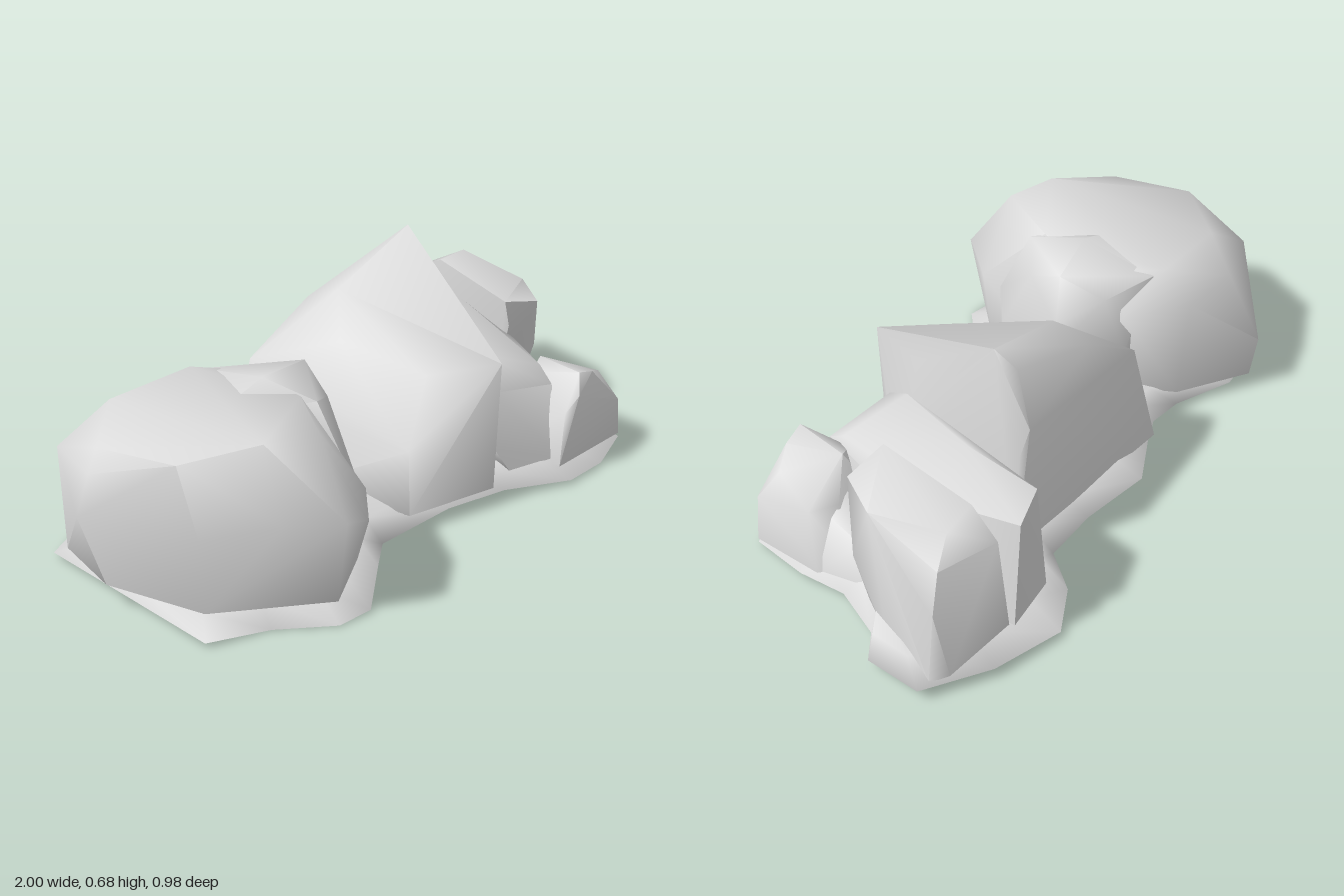
import * as THREE from 'three';
import { toCreasedNormals } from 'three/addons/utils/BufferGeometryUtils.js';
import { ConvexGeometry } from 'three/addons/geometries/ConvexGeometry.js';

const stone = new THREE.MeshStandardMaterial({ color: 0xdadada, side: THREE.DoubleSide });
stone.name = 'grey stone';

// A chiselled boulder: the hull of a few corner points, softened across all but the sharpest edges
function boulder(name, corners) {
  const hull = new ConvexGeometry(corners.map((c) => new THREE.Vector3(...c)));
  const mesh = new THREE.Mesh(toCreasedNormals(hull, 1.15), stone);
  mesh.name = name;
  return mesh;
}

// Thin uneven slab: rings run from the middle of the rough underside, round the rim, to the middle of the top
function groundSlab(outline) {
  const dip = (x, at) => Math.exp(-(((x - at) / 0.3) ** 2));
  const base = (x, z) => 0.04 - 0.034 * dip(x, -0.7) - 0.024 * dip(x, 0.55) - 0.012 * z;
  // [scale, lift, roughness]
  const rings = [[0, 0.01, 0.05], [0.3, 0, 0.065], [0.6, 0, 0.035], [0.82, 0, 0.01],
    [1, 0, 0], [0.75, 0.035, 0.01], [0.4, 0.075, 0], [0, 0.09, 0]];
  const n = outline.length;
  const pos = [];
  const idx = [];
  rings.forEach(([s, lift, rough], r) => outline.forEach(([px, pz], i) => {
    const x = px * (0.75 + 0.25 * s);
    const z = pz * s;
    const bump = rough * (0.5 + 0.5 * Math.sin(i * 2.3 + r * 1.9));
    pos.push(x, base(x, z) + lift + bump, z);
    if (r < rings.length - 1) {
      const a = r * n + i, b = r * n + (i + 1) % n;
      idx.push(a, b, a + n, b, b + n, a + n);
    }
  }));
  const g = new THREE.BufferGeometry();
  g.setAttribute('position', new THREE.Float32BufferAttribute(pos, 3));
  g.setIndex(idx);
  g.computeVertexNormals();
  g.translate(0, -g.boundingBox?.min.y || 0, 0);
  const mesh = new THREE.Mesh(g, stone);
  mesh.name = 'groundSlab';
  return mesh;
}

export function createModel() {
  const group = new THREE.Group();
  group.name = 'rockCluster';

  const slab = groundSlab([
    [-0.92, 0.27], [-0.75, 0.34], [-0.62, 0.46], [-0.52, 0.48], [-0.36, 0.37], [-0.27, 0.31],
    [0, 0.33], [0.2, 0.38], [0.4, 0.48], [0.56, 0.48], [0.73, 0.43], [0.78, 0.25], [0.79, 0.1],
    [0.88, -0.05], [0.97, -0.1], [1, -0.27], [0.83, -0.4], [0.62, -0.48], [0.47, -0.42],
    [0.37, -0.32], [0.2, -0.34], [-0.02, -0.4], [-0.18, -0.34], [-0.28, -0.31], [-0.4, -0.33],
    [-0.6, -0.42], [-0.75, -0.42], [-0.88, -0.36],
  ]);
  group.add(slab);

  // Broad upright boulder at one end, with a shoulder on its inner side
  group.add(boulder('broadBoulder', [
    [-0.87, 0.46, 0.14], [-0.92, 0.45, -0.1], [-0.7, 0.5, 0.28], [-0.56, 0.49, 0.35],
    [-0.42, 0.49, 0.15], [-0.72, 0.46, -0.27], [-0.45, 0.47, -0.24], [-0.36, 0.47, -0.1],
    [-1, 0.28, -0.1], [-0.97, 0.4, -0.08], [-0.87, 0.27, 0.21], [-0.72, 0.3, 0.36], [-0.6, 0.3, 0.47],
    [-0.54, 0.29, 0.49], [-0.4, 0.28, 0.36], [-0.87, 0.36, -0.32], [-0.63, 0.39, -0.38],
    [-0.63, 0.19, -0.49], [-0.43, 0.39, -0.34], [-0.29, 0.38, -0.19],
    [-0.96, 0.08, -0.05], [-0.86, 0.05, 0.21], [-0.58, 0.04, 0.42], [-0.4, 0.05, 0.33],
    [-0.87, 0.05, -0.31], [-0.63, 0.05, -0.47], [-0.42, 0.06, -0.32], [-0.28, 0.07, 0],
  ]));
  group.add(boulder('broadBoulderShoulder', [
    [-0.43, 0.51, 0.02], [-0.24, 0.49, 0.0], [-0.4, 0.48, 0.19], [-0.28, 0.43, 0.12], [-0.42, 0.46, -0.22],
    [-0.26, 0.44, -0.14], [-0.18, 0.36, -0.02], [-0.17, 0.27, -0.02], [-0.28, 0.26, -0.2],
    [-0.28, 0.22, 0.22], [-0.37, 0.28, 0.28], [-0.21, 0.08, 0.02], [-0.28, 0.06, 0.22],
    [-0.38, 0.06, 0.27], [-0.3, 0.07, -0.18], [-0.6, 0.08, 0], [-0.6, 0.45, 0],
  ]));

  // Tall leaning boulder in the middle
  group.add(boulder('tallBoulder', [
    [0.38, 0.68, -0.14], [0.36, 0.62, -0.2], [0.2, 0.6, -0.12], [0.06, 0.57, -0.14], [0.05, 0.52, -0.25],
    [-0.03, 0.46, -0.05], [0.4, 0.47, -0.26], [0.42, 0.38, -0.24], [-0.15, 0.27, 0.02], [-0.19, 0.26, -0.3],
    [0.03, 0.41, 0.22], [0.18, 0.44, 0.37], [0.28, 0.46, 0.17], [-0.11, 0.24, 0.27], [0.17, 0.28, 0.35],
    [0.31, 0.3, 0.18], [-0.16, 0.38, -0.29],
    [-0.22, 0.1, 0], [-0.2, 0.06, -0.35], [-0.14, 0.06, 0.3], [0.16, 0.05, 0.37], [0.33, 0.06, 0.22],
    [0.44, 0.06, -0.24],
  ]));

  // Low ridge running diagonally from back to front, sloping down to the outer side
  group.add(boulder('lowRidge', [
    [0.52, 0.395, -0.35], [0.66, 0.39, -0.38], [0.46, 0.395, -0.1], [0.32, 0.365, 0.18], [0.26, 0.29, 0.28],
    [0.65, 0.35, -0.12], [0.48, 0.26, 0.34], [0.61, 0.3, 0.1], [0.5, 0.3, 0.28],
    [0.52, 0.07, -0.38], [0.7, 0.07, -0.385], [0.34, 0.07, 0], [0.23, 0.13, 0.32], [0.27, 0.05, 0.35],
    [0.45, 0.05, 0.4], [0.62, 0.06, 0.12],
  ]));

  // Squared boulder at the other end
  group.add(boulder('squareBoulder', [
    [0.59, 0.42, 0.08], [0.72, 0.39, 0.11], [0.7, 0.44, -0.26], [0.82, 0.44, -0.26], [0.9, 0.38, -0.28],
    [0.74, 0.39, -0.36], [0.82, 0.4, -0.02], [0.6, 0.34, 0.09],
    [0.93, 0.25, -0.28], [0.8, 0.2, 0.05], [0.62, 0.15, 0.04],
    [0.96, 0.04, -0.28], [0.88, 0.04, -0.1], [0.8, 0.04, 0], [0.64, 0.05, 0], [0.72, 0.09, -0.38], [0.92, 0.05, -0.32],
  ]));

  // Small pointed boulder at the front, with a low tail behind it
  group.add(boulder('smallBoulder', [
    [0.52, 0.305, 0.41], [0.59, 0.285, 0.41], [0.5, 0.27, 0.26], [0.56, 0.295, 0.24], [0.67, 0.25, 0.38],
    [0.72, 0.2, 0.25], [0.44, 0.2, 0.42], [0.48, 0.25, 0.44], [0.7, 0.16, 0.44], [0.76, 0.1, 0.24],
    [0.41, 0.04, 0.43], [0.73, 0.03, 0.43], [0.77, 0.04, 0.2], [0.45, 0.05, 0.17], [0.7, 0.04, 0.12],
    [0.66, 0.21, 0.19],
  ]));
  group.add(boulder('smallBoulderTail', [
    [0.58, 0.22, 0.2], [0.7, 0.19, 0.19], [0.62, 0.17, 0.07], [0.72, 0.16, 0.08], [0.55, 0.04, 0.22],
    [0.76, 0.04, 0.2], [0.76, 0.04, 0], [0.58, 0.04, -0.03],
  ]));

  return group;
}
